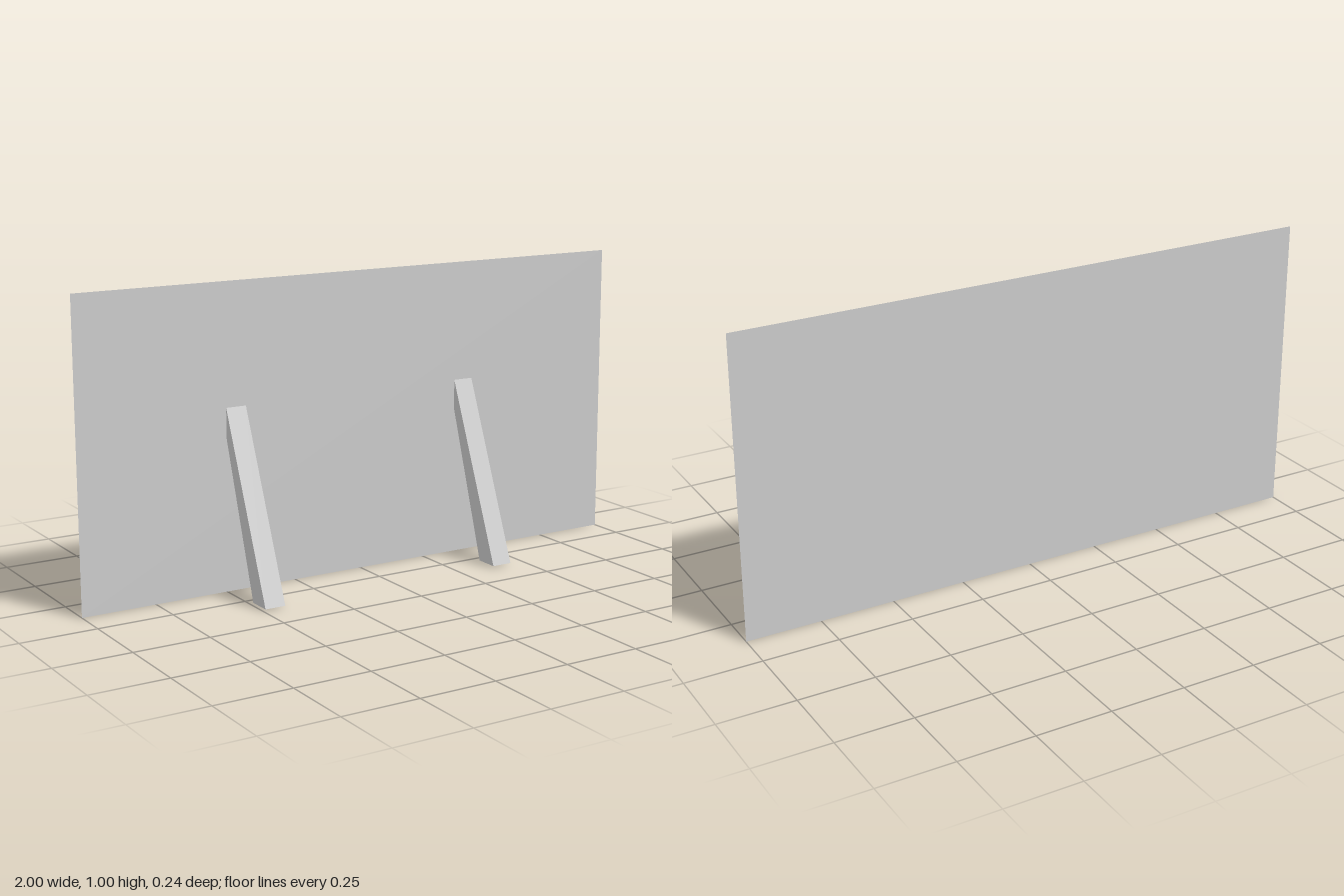
import * as THREE from 'three';

const material = new THREE.MeshStandardMaterial({ color: 0xcccccc, flatShading: true, side: THREE.DoubleSide });
const BACK = -0.12; // z of the panel

// Hollow four-sided strut: a box sheared so that its top end lies against the panel
function strutGeometry(width) {
  const geometry = new THREE.BoxGeometry(width, 1, 1);
  const pos = geometry.attributes.position;
  for (let i = 0; i < pos.count; i++) {
    const front = pos.getZ(i) > 0;
    if (pos.getY(i) > 0) {
      pos.setY(i, front ? 0.6 : 0.5);
      pos.setZ(i, BACK);
    } else {
      pos.setY(i, 0.005);
      pos.setZ(i, front ? 0.12 : 0.04);
    }
  }
  // Leave both ends open: keep the left, right, front and rear walls only
  const index = Array.from(geometry.index.array);
  geometry.setIndex([...index.slice(0, 12), ...index.slice(24)]);
  geometry.clearGroups();
  geometry.computeVertexNormals();
  return geometry;
}

export function createModel() {
  const model = new THREE.Group();
  model.name = 'proppedBoard';

  // Thin upright board
  const panel = new THREE.Mesh(new THREE.PlaneGeometry(2, 1), material);
  panel.name = 'panel';
  panel.position.set(0, 0.5, BACK);
  model.add(panel);

  // Two sloping support struts
  const geometry = strutGeometry(0.07);
  for (const [name, x] of [['rightStrut', -0.457], ['leftStrut', 0.41]]) {
    const strut = new THREE.Mesh(geometry, material);
    strut.name = name;
    strut.position.x = x;
    model.add(strut);
  }
  return model;
}
